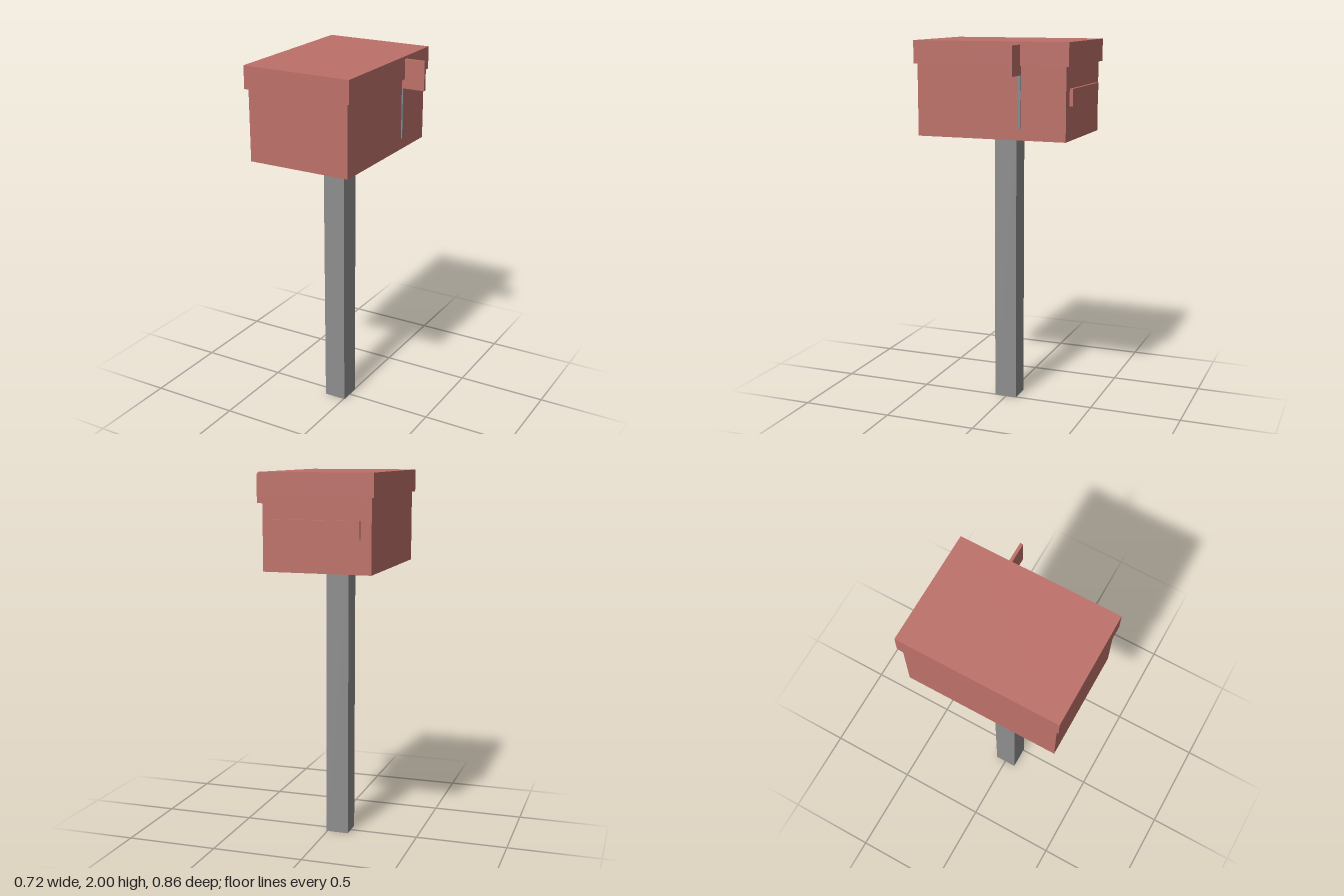
import * as THREE from 'three';

const mat = (name, color) => {
  const m = new THREE.MeshStandardMaterial({ color });
  m.name = name;
  return m;
};

export function createModel() {
  const group = new THREE.Group();
  group.name = 'mailbox';
  const red = mat('dusty red', 0xbd7069);
  const grey = mat('post grey', 0x8e8e8e);
  const steel = mat('steel grey', 0x818c92);

  // Box from its [min, max] range on each axis
  const block = (name, material, [x0, x1], [y0, y1], [z0, z1]) => {
    const mesh = new THREE.Mesh(new THREE.BoxGeometry(x1 - x0, y1 - y0, z1 - z0), material);
    mesh.position.set((x0 + x1) / 2, (y0 + y1) / 2, (z0 + z1) / 2);
    mesh.name = name;
    group.add(mesh);
  };

  // Post, box and overhanging lid
  block('post', grey, [-0.12, 0.005], [0, 1.5], [-0.06, 0.065]);
  block('body', red, [-0.345, 0.229], [1.497, 1.88], [-0.41, 0.413]);
  block('lid', red, [-0.36, 0.245], [1.879, 2], [-0.428, 0.428]);

  // Raised plate on the back
  block('backPlate', red, [-0.287, 0.171], [1.675, 1.765], [-0.428, -0.409]);

  // Signal flag and its thin rod on the side
  block('flagRod', steel, [0.225, 0.236], [1.558, 1.88], [-0.167, -0.153]);
  block('flag', red, [0.23, 0.357], [1.83, 1.985], [-0.168, -0.152]);

  return group;
}
